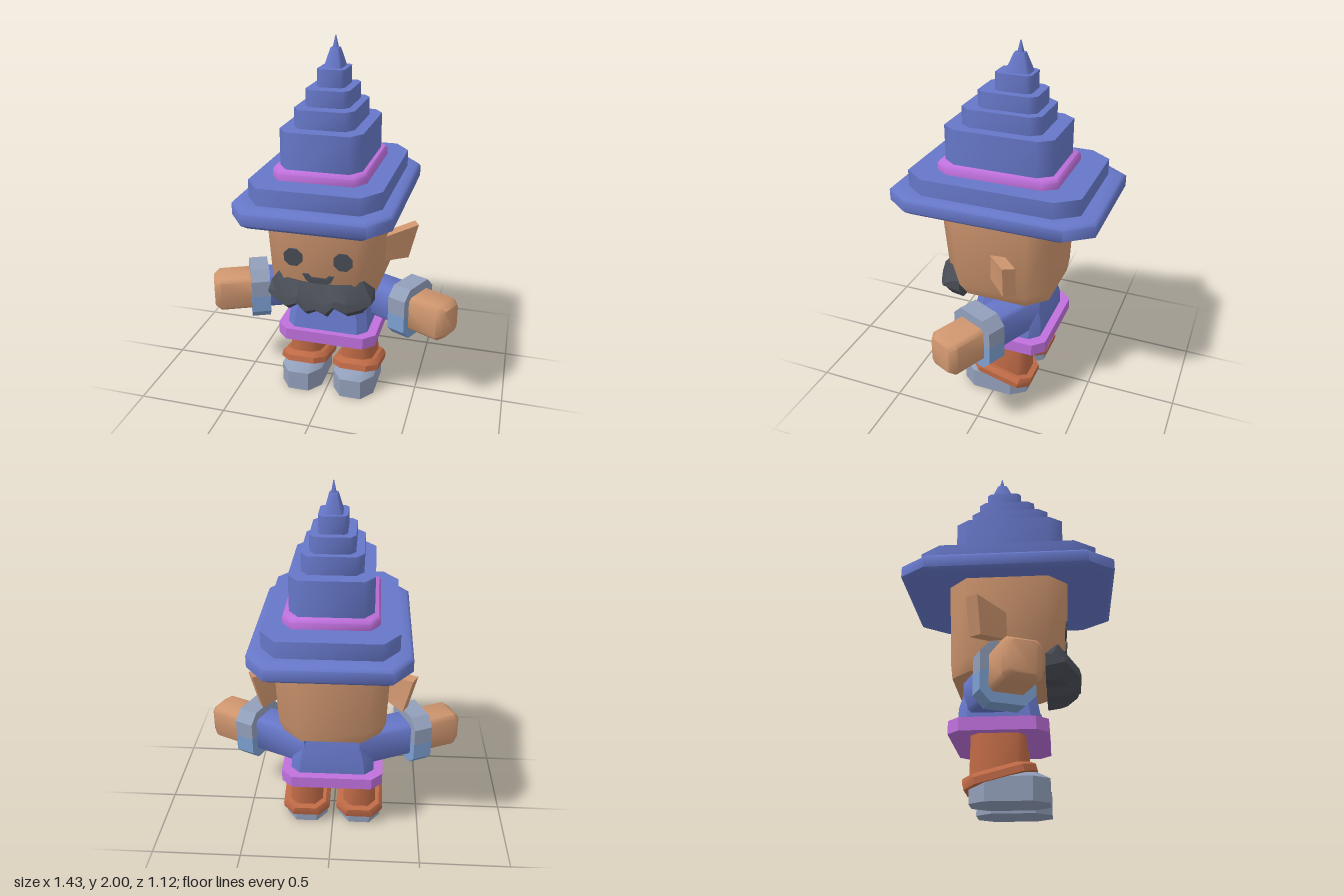
import * as THREE from 'three';
import { toCreasedNormals } from 'three/addons/utils/BufferGeometryUtils.js';

const paint = (name, color) => {
  const m = new THREE.MeshStandardMaterial({ color });
  m.name = name;
  return m;
};

// Stitch closed rings of points together and cap both ends.
function loft(rings, crease = 0.96) {
  const pos = [];
  const n = rings[0].length;
  const tri = (a, b, c) => pos.push(...a, ...b, ...c);
  for (let r = 0; r < rings.length - 1; r++) {
    for (let i = 0; i < n; i++) {
      const j = (i + 1) % n;
      tri(rings[r][i], rings[r + 1][i], rings[r][j]);
      tri(rings[r][j], rings[r + 1][i], rings[r + 1][j]);
    }
  }
  const top = rings[rings.length - 1];
  for (let i = 1; i < n - 1; i++) {
    tri(rings[0][0], rings[0][i], rings[0][i + 1]);
    tri(top[0], top[i + 1], top[i]);
  }
  const g = new THREE.BufferGeometry();
  g.setAttribute('position', new THREE.Float32BufferAttribute(pos, 3));
  return toCreasedNormals(g, crease);
}

// Stack of rectangles with cut corners: [y, halfWidth, zMin, zMax, cutX, cutZ]
function stack(sections, crease) {
  return loft(sections.map(([y, h, a, b, cx, cz = cx]) => [
    [h, y, a + cz], [h, y, b - cz], [h - cx, y, b], [-h + cx, y, b],
    [-h, y, b - cz], [-h, y, a + cz], [-h + cx, y, a], [h - cx, y, a],
  ]), crease);
}

// Thin painted plate cut from an outline
function plate(points) {
  const s = new THREE.Shape(points.map(([x, y]) => new THREE.Vector2(x, y)));
  return new THREE.ExtrudeGeometry(s, { depth: 0.008, bevelEnabled: false });
}

export function createModel() {
  const model = new THREE.Group();
  const blue = paint('cloth blue', 0x6677c8);
  const purple = paint('trim purple', 0xbf70dc);
  const skin = paint('skin', 0xcf966f);
  const dark = paint('hair charcoal', 0x494d56);
  const steel = paint('steel grey', 0x929fba);
  const sky = paint('steel blue', 0x7c9fd0);
  const rust = paint('rust brown', 0xbf6a46);

  const add = (name, geo, mat, parent = model) => {
    const m = new THREE.Mesh(geo, mat);
    m.name = name;
    parent.add(m);
    return m;
  };

  // Hat: stepped brim and stepped crown
  add('hatBrim', stack([
    [1.15, 0.385, -0.535, 0.535, 0.1, 0.13],
    [1.17, 0.41, -0.56, 0.56, 0.1, 0.135],
    [1.23, 0.41, -0.56, 0.56, 0.1, 0.135],
    [1.245, 0.395, -0.545, 0.545, 0.1, 0.13],
    [1.245, 0.345, -0.47, 0.47, 0.085, 0.115],
    [1.335, 0.345, -0.47, 0.47, 0.085, 0.115],
  ]), blue);
  add('hatBand', stack([
    [1.33, 0.245, -0.33, 0.33, 0.05, 0.07],
    [1.37, 0.245, -0.33, 0.33, 0.05, 0.07],
    [1.385, 0.235, -0.32, 0.32, 0.05, 0.07],
  ]), purple);
  const tiers = [
    [1.33, 1.575, 0.215, -0.293, 0.297],
    [1.575, 1.67, 0.157, -0.215, 0.217],
    [1.67, 1.755, 0.115, -0.178, 0.14],
    [1.755, 1.845, 0.073, -0.135, 0.06],
  ];
  const crown = tiers.flatMap(([y0, y1, h, a, b]) =>
    [y0, y1].map((y) => [y, h, a, b, h * 0.24, (b - a) * 0.12]));
  crown.push(
    [1.845, 0.048, -0.115, 0.015, 0.012], [1.94, 0.022, -0.08, -0.025, 0.006],
    [1.94, 0.013, -0.07, -0.04, 0.003], [2.0, 0.002, -0.057, -0.053, 0.0005]);
  add('hatCrown', stack(crown), blue);

  // Head
  add('head', stack([
    [0.645, 0.265, -0.29, 0.245, 0.1],
    [0.71, 0.293, -0.295, 0.28, 0.1],
    [1.16, 0.31, -0.312, 0.315, 0.1],
  ]), skin);

  // Face plates
  const onFace = (mesh, x, y) => {
    mesh.position.set(x, y, 0.28 + 0.078 * (y - 0.71));
    mesh.rotation.x = 0.078;
  };
  const octagon = Array.from({ length: 8 }, (_, i) => {
    const a = (i + 0.5) * Math.PI / 4;
    return [0.054 * Math.cos(a), 0.054 * Math.sin(a)];
  });
  for (const s of [1, -1]) onFace(add('eye', plate(octagon), dark), s * 0.135, 0.907);
  onFace(add('noseShadow', plate([
    [-0.07, -0.01], [-0.045, -0.028], [0.045, -0.028], [0.07, -0.01], [0.087, 0.025],
    [0.055, 0.025], [0.04, 0.007], [-0.04, 0.007], [-0.055, 0.025], [-0.087, 0.025],
  ]), dark), 0, 0.79);

  // Moustache: cross-sections from the model's right to its left
  // [x, bottom, top, front, back]
  const half = [
    [0.285, 0.655, 0.72, 0.29, 0.19], [0.235, 0.595, 0.79, 0.32, 0.19],
    [0.165, 0.583, 0.775, 0.355, 0.19], [0.098, 0.635, 0.765, 0.37, 0.19],
    [0.055, 0.572, 0.763, 0.37, 0.19], [0, 0.6, 0.763, 0.37, 0.19],
  ];
  const columns = [...half.map(([x, ...r]) => [-x, ...r]), ...half.slice(0, -1).reverse()];
  add('moustache', loft(columns.map(([x, b, t, f, k]) => [
    [x, b, k], [x, b + 0.01, f - 0.06], [x, b + (t - b) * 0.3, f],
    [x, b + (t - b) * 0.55, f - 0.008], [x, t, f - 0.065], [x, t, k],
  ]), 0.5), dark);

  // Robe, neck opening and belt
  add('robe', stack([
    [0.38, 0.235, -0.25, 0.17, 0.05],
    [0.48, 0.225, -0.25, 0.15, 0.05],
    [0.66, 0.185, -0.205, 0.115, 0.05],
  ], 0.6), blue);
  const neck = add('neckOpening', plate([[-0.08, 0.12], [0, 0], [0.08, 0.12]]), skin);
  neck.position.set(0, 0.52, 0.14);
  neck.rotation.x = -0.19;
  add('belt', stack([
    [0.335, 0.283, -0.295, 0.2, 0.06],
    [0.402, 0.283, -0.295, 0.2, 0.06],
  ], 0.6), purple);

  for (const s of [1, -1]) {
    const side = s > 0 ? 'left' : 'right';

    // Ear: flat wedge swept outward and back
    const outline = [[0.28, 0.8, 0.015], [0.28, 0.94, 0.015], [0.457, 0.977, -0.135], [0.41, 0.78, -0.12]];
    const front = outline.map(([x, y, z]) => [s * x, y, z]);
    const back = outline.map(([x, y, z]) => [s * (x - 0.03), y, z - 0.06]);
    const rings = s > 0 ? [back, front] : [back.reverse(), front.reverse()];
    add(side + 'Ear', loft(rings.map((r) => r.reverse()), 0.3), skin).material.side = THREE.DoubleSide;

    // Arm: built along local x, turned slightly forward
    const arm = new THREE.Group();
    arm.name = side + 'Arm';
    arm.position.set(s * 0.17, 0.54, -0.127);
    arm.rotation.y = s > 0 ? -0.43 : Math.PI + 0.43;
    model.add(arm);
    const along = (sections) => stack(sections).rotateZ(-Math.PI / 2);
    add('sleeve', along([
      [-0.06, 0.1, -0.09, 0.09, 0.02], [0.27, 0.1, -0.09, 0.09, 0.02]]), blue, arm);
    add('hand', along([
      [0.3, 0.1, -0.095, 0.095, 0.022], [0.535, 0.1, -0.095, 0.095, 0.022],
      [0.57, 0.078, -0.07, 0.07, 0.02]]), skin, arm);
    // Cuff in two tones, upper and lower half
    for (const [name, mat, v] of [['cuffTop', steel, 1], ['cuffBottom', sky, -1]]) {
      const pts = [[-0.138, 0], [0.138, 0], [0.138, 0.095], [0.085, 0.15], [-0.085, 0.15], [-0.138, 0.095]];
      const shape = new THREE.Shape(pts.map(([z, y]) => new THREE.Vector2(z, y * v)));
      const g = new THREE.ExtrudeGeometry(shape, { depth: 0.107, bevelEnabled: false });
      add(name, g.rotateY(Math.PI / 2).translate(0.253, 0, 0), mat, arm);
    }

    // Leg, slanted boot trim and shoe
    const leg = new THREE.Group();
    leg.name = side + 'Leg';
    leg.position.x = s * 0.155;
    model.add(leg);
    add('trouser', stack([
      [0.08, 0.1, -0.185, 0.09, 0.045], [0.36, 0.075, -0.185, 0.085, 0.04]]), rust, leg);
    const trim = add('bootTrim', stack([
      [-0.028, 0.135, -0.18, 0.18, 0.06], [0.005, 0.135, -0.18, 0.18, 0.06],
      [0.028, 0.115, -0.175, 0.15, 0.055]], 0.6), rust, leg);
    trim.position.set(0, 0.133, -0.04);
    trim.rotation.x = -0.25;
    add('shoe', stack([
      [0, 0.12, -0.185, 0.2, 0.06, 0.08], [0.115, 0.12, -0.185, 0.2, 0.06, 0.08],
      [0.15, 0.09, -0.12, 0.13, 0.04, 0.06]], 0.6), steel, leg);
    // Keep the heel below the slanted trim
    const p = leg.getObjectByName('shoe').geometry.attributes.position;
    for (let i = 0; i < p.count; i++) {
      if (p.getY(i) > 0.05 && p.getZ(i) < 0.1) p.setY(i, Math.min(p.getY(i), 0.14 + 0.25 * p.getZ(i)));
    }
  }
  return model;
}
